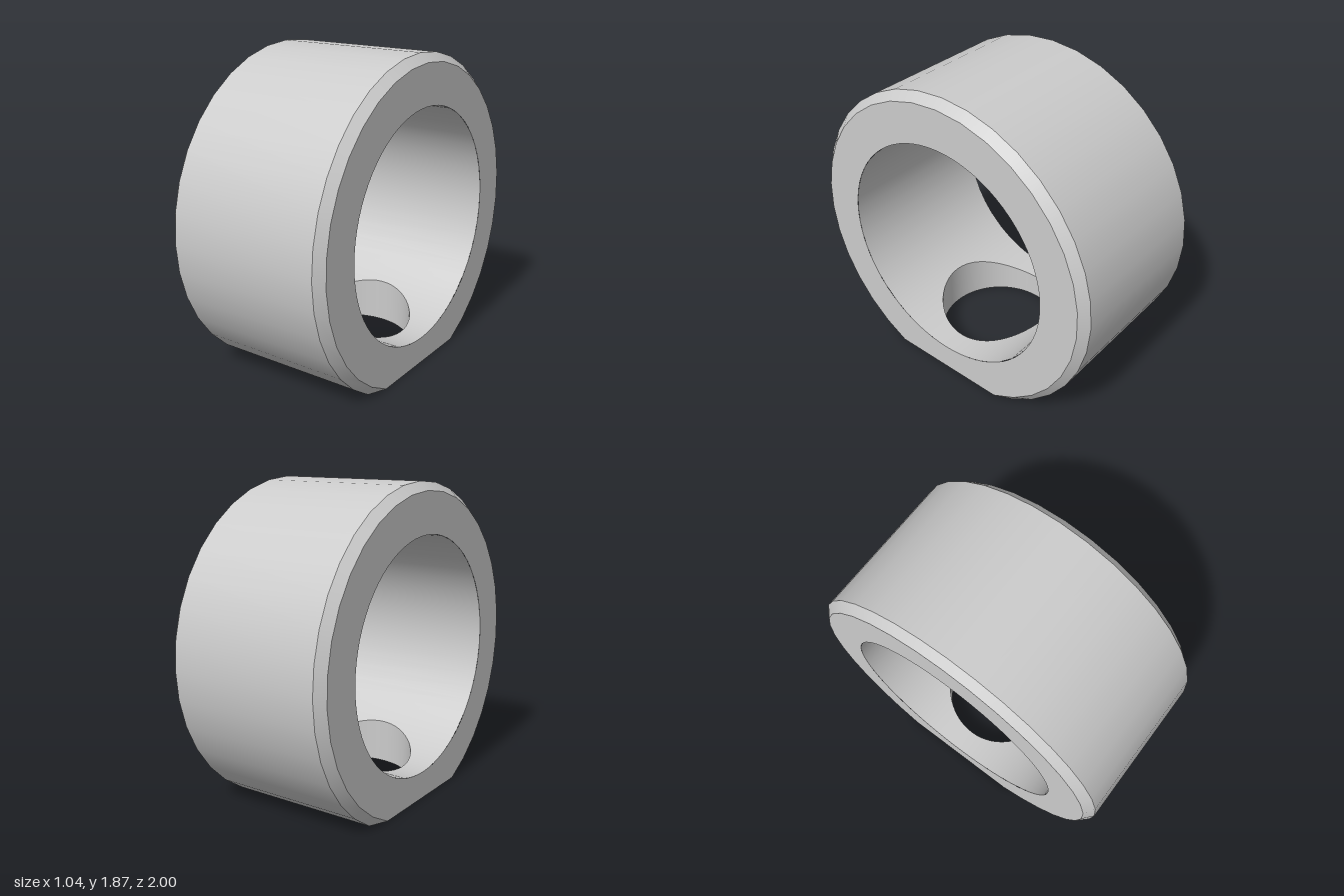
import * as THREE from 'three';

const C = 0.87;      // height of the ring axis, which runs along x
const R = 1;         // outer radius
const RE = 0.95;     // outer radius at the end faces, inside the chamfer
const RB = 0.705;    // bore radius
const HW = 0.52;     // half width
const HB = 0.47;     // half width of the outer band between chamfers
const RH = 0.376;    // radius of the hole through the flat
const ZP = 0.52;     // half depth of the bore patch around the hole

// Point on a circle around the axis; t = 0 is straight down
const onRing = (x, r, t) => [x, C - r * Math.cos(t), r * Math.sin(t)];
// Arc angle at which radius r, clipped by the flat, is reached at fraction u
const clipped = (r, u) => {
  const t0 = Math.acos(C / r);
  return t0 + u * (2 * Math.PI - 2 * t0);
};
const boreY = (z) => C - Math.sqrt(RB * RB - z * z);

// Grid surface with exact smooth normals; winding follows the normal rule
function surface(nu, nv, point, normal) {
  const pos = [], nor = [], index = [];
  for (let i = 0; i <= nu; i++) {
    for (let j = 0; j <= nv; j++) {
      const p = point(i / nu, j / nv);
      pos.push(...p);
      nor.push(...new THREE.Vector3(...normal(...p)).normalize().toArray());
    }
  }
  const at = (k) => new THREE.Vector3().fromArray(pos, k * 3);
  const a = at(0), b = at(nv + 1), c = at(1);
  const face = b.sub(a).cross(c.sub(a));
  const flip = face.dot(new THREE.Vector3().fromArray(nor, 0)) < 0;
  for (let i = 0; i < nu; i++) {
    for (let j = 0; j < nv; j++) {
      const k = i * (nv + 1) + j, l = k + nv + 1;
      if (flip) index.push(k, k + 1, l, l, k + 1, l + 1);
      else index.push(k, l, k + 1, l, l + 1, k + 1);
    }
  }
  const g = new THREE.BufferGeometry();
  g.setAttribute('position', new THREE.Float32BufferAttribute(pos, 3));
  g.setAttribute('normal', new THREE.Float32BufferAttribute(nor, 3));
  g.setIndex(index);
  return g;
}

export function createModel() {
  const group = new THREE.Group();
  group.name = 'collar';
  const material = new THREE.MeshStandardMaterial({ color: 0xcccccc });
  const add = (name, geometry) => {
    const mesh = new THREE.Mesh(geometry, material);
    mesh.name = name;
    group.add(mesh);
  };

  // Outer band, cut off by the flat
  add('outerBand', surface(30, 1,
    (u, v) => onRing((2 * v - 1) * HB, R, clipped(R, u)),
    (x, y, z) => [0, y - C, z]));

  // Chamfer and end face on each side
  const endShape = new THREE.Shape();
  for (let i = 0; i <= 30; i++) {
    const [, y, z] = onRing(0, RE, clipped(RE, i / 30));
    if (i) endShape.lineTo(z, y);
    else endShape.moveTo(z, y);
  }
  endShape.closePath();
  endShape.holes.push(new THREE.Path().absarc(0, C, RB, 0, 2 * Math.PI, true));
  for (const [side, s] of [['left', 1], ['right', -1]]) {
    add(side + 'Chamfer', surface(30, 1,
      (u, v) => {
        const r = R + v * (RE - R);
        return onRing(s * (HB + v * (HW - HB)), r, clipped(r, u));
      },
      (x, y, z) => {
        const r = Math.hypot(y - C, z);
        return [s, (y - C) / r, z / r];
      }));
    add(side + 'EndFace', new THREE.ShapeGeometry(endShape, 36)
      .rotateY(s * Math.PI / 2).translate(s * HW, 0, 0));
  }

  // Flat foot with clipped corners and the round hole
  const zBand = Math.sqrt(R * R - C * C), zEnd = Math.sqrt(RE * RE - C * C);
  const foot = new THREE.Shape([
    [HW, -zEnd], [HW, zEnd], [HB, zBand], [-HB, zBand],
    [-HW, zEnd], [-HW, -zEnd], [-HB, -zBand], [HB, -zBand],
  ].map(([x, z]) => new THREE.Vector2(x, z)));
  foot.holes.push(new THREE.Path().absarc(0, 0, RH, 0, 2 * Math.PI, true));
  add('flatFoot', new THREE.ShapeGeometry(foot, 64).rotateX(Math.PI / 2));

  // Bore away from the hole
  const inward = (x, y, z) => [0, C - y, -z];
  const tp = Math.asin(ZP / RB);
  add('bore', surface(36, 1,
    (u, v) => onRing((2 * v - 1) * HW, RB, tp + u * (2 * Math.PI - 2 * tp)),
    inward));

  // Bore around the hole: a square border blended into the hole's rim
  add('boreAroundHole', surface(64, 6,
    (u, v) => {
      const c = Math.cos(u * 2 * Math.PI), s = Math.sin(u * 2 * Math.PI);
      const edge = HW / Math.max(Math.abs(c), Math.abs(s));
      const r = RH + v * (edge - RH);
      const z = r * s;
      return [r * c, boreY(z), z];
    },
    inward));

  // Wall of the hole, from the foot up to the bore
  add('holeWall', surface(64, 1,
    (u, v) => {
      const x = RH * Math.cos(u * 2 * Math.PI), z = RH * Math.sin(u * 2 * Math.PI);
      return [x, v * boreY(z), z];
    },
    (x, y, z) => [-x, 0, -z]));

  return group;
}
